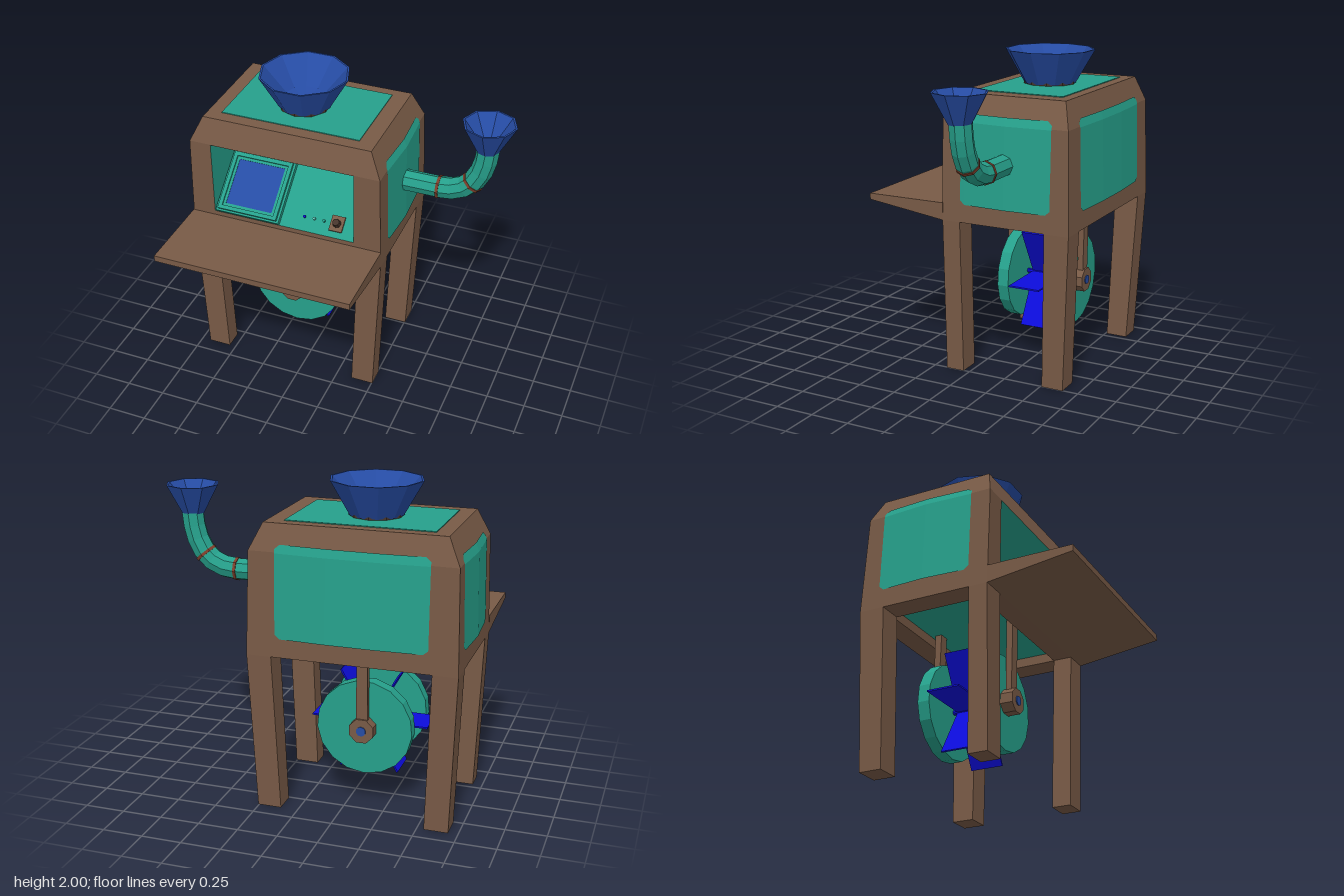
import * as THREE from 'three';

const mat = (name, color, side = THREE.DoubleSide) => {
  const m = new THREE.MeshStandardMaterial({ color, side });
  m.name = name;
  return m;
};
const wood = mat('brown wood', 0x785a46);
const teal = mat('teal metal', 0x26a08b);
const navy = mat('navy blue', 0x264ca4);
const blue = mat('bright blue', 0x0c0cdc);
const rust = mat('rust red', 0x7c3f2b);
const mint = mat('light mint', 0x5fc8b8);
const dark = mat('dark brown', 0x45342b);

const CX = -0.3425, CZ = -0.265; // cabinet centre
const WX = -0.365, WY = 0.52;    // wheel axis

function add(parent, name, geo, material, x = 0, y = 0, z = 0) {
  const m = new THREE.Mesh(geo, material);
  m.name = name;
  m.position.set(x, y, z);
  parent.add(m);
  return m;
}

function flat(geo) {
  const g = geo.index ? geo.toNonIndexed() : geo;
  g.computeVertexNormals();
  return g;
}

// Flat-shaded surface from four-cornered faces
function quads(list) {
  const pos = [];
  for (const [a, b, c, d] of list) pos.push(...a, ...b, ...c, ...a, ...c, ...d);
  const g = new THREE.BufferGeometry();
  g.setAttribute('position', new THREE.Float32BufferAttribute(pos, 3));
  g.computeVertexNormals();
  return g;
}

// Stack of rectangles [x0, x1, z0, z1, y] joined into a solid
function loft(rects, { bottom = true, top = true, skip = () => false } = {}) {
  const loops = rects.map(([x0, x1, z0, z1, y]) => [[x0, y, z1], [x1, y, z1], [x1, y, z0], [x0, y, z0]]);
  const faces = [];
  for (let i = 0; i + 1 < loops.length; i++)
    for (let k = 0; k < 4; k++) {
      const n = (k + 1) % 4;
      if (!skip(i, k)) faces.push([loops[i][k], loops[i][n], loops[i + 1][n], loops[i + 1][k]]);
    }
  if (bottom) faces.push([...loops[0]].reverse());
  if (top) faces.push(loops[loops.length - 1]);
  return quads(faces);
}

function rectPath(target, x0, x1, y0, y1) {
  target.moveTo(x0, y0);
  target.lineTo(x1, y0);
  target.lineTo(x1, y1);
  target.lineTo(x0, y1);
  target.closePath();
  return target;
}

// Bulging wall panel: columns are [u, bulge]; it bends in over the shoulder
function wallPanel(columns, extent) {
  const r = 0.025, last = columns.length - 1;
  const rows = columns.map(([u, bulge], i) => {
    const cut = i === 0 || i === last ? r : 0;
    return [1.105 + cut, 1.615, 1.665 - cut].map((y) => [u, y, extent(y) + bulge]);
  });
  const faces = [];
  for (let i = 0; i < last; i++)
    for (let k = 0; k < 2; k++)
      faces.push([rows[i][k], rows[i + 1][k], rows[i + 1][k + 1], rows[i][k + 1]]);
  return quads(faces);
}

function funnel(r0, r1, h, sides) {
  const pts = [[0, 0], [r0, 0], [r1, h], [r1 - 0.012, h], [r0 * 0.75, 0.05], [0, 0.02]];
  return flat(new THREE.LatheGeometry(pts.map((p) => new THREE.Vector2(...p)), sides, Math.PI / 2));
}

function buildCabinet(root) {
  const g = new THREE.Group();
  g.name = 'cabinet';
  root.add(g);
  const inner = [-0.83, 0.145, -0.55, 0.04];
  add(g, 'cabinetFrame', loft([
    [...inner, 1.05], [...inner, 0.99],
    [-0.98, 0.295, -0.69, 0.16, 0.99],
    [-0.965, 0.28, -0.672, 0.16, 1.62],
    [-0.89, 0.205, -0.62, 0.11, 1.78],
  ], { bottom: false, skip: (i, k) => i === 2 && k === 0 }), wood);
  add(g, 'floorPanel', loft([[...inner, 1.05], [...inner, 1.055]]), teal);

  // Front wall with its opening
  const front = new THREE.Shape();
  [[-0.98, 0.99], [0.295, 0.99], [0.28, 1.62], [-0.965, 1.62]].forEach(([x, y], i) =>
    i ? front.lineTo(x, y) : front.moveTo(x, y));
  front.holes.push(rectPath(new THREE.Path(), -0.825, 0.115, 1.13, 1.617));
  add(g, 'frontWall', new THREE.ShapeGeometry(front), wood, 0, 0, 0.16);

  // Wedge-shaped recess: sloping console, ceiling and two cheeks
  const [l, r] = [-0.825, 0.115];
  const A = (x) => [x, 1.13, 0.16], B = (x) => [x, 1.43, -0.2], C = (x) => [x, 1.617, 0.16];
  add(g, 'recess', quads([
    [A(l), A(r), B(r), B(l)], [B(l), B(r), C(r), C(l)],
    [A(l), B(l), C(l), C(l)], [A(r), C(r), B(r), B(r)],
  ]), teal);

  // Teal panels on the sides, back and top
  const lerp = THREE.MathUtils.mapLinear;
  const wall = (a, b, c) => (y) => (y < 1.62 ? lerp(y, 0.99, 1.62, a, b) : lerp(y, 1.62, 1.78, b, c));
  const sideCols = [[-0.3, 0.003], [-0.27, 0.005], [0, 0.02], [0.27, 0.005], [0.3, 0.003]];
  const backCols = [[-0.46, 0.003], [-0.43, 0.005], [-0.15, 0.018], [0.15, 0.018], [0.43, 0.005], [0.46, 0.003]];
  for (const [name, angle, cols, ext] of [
    ['leftPanel', Math.PI / 2, sideCols, wall(0.6375, 0.6225, 0.5475)],
    ['rightPanel', -Math.PI / 2, sideCols, wall(0.6375, 0.6225, 0.5475)],
    ['backPanel', Math.PI, backCols, wall(0.425, 0.407, 0.355)],
  ]) add(g, name, wallPanel(cols, ext), teal, CX, 0, CZ).rotation.y = angle;
  add(g, 'topPanel', new THREE.BoxGeometry(0.9, 0.008, 0.58), teal, -0.35, 1.781, -0.262);

  // Wedge-shaped table
  add(g, 'table', loft([
    [-0.98, 0.295, 0.159, 0.16, 0.99], [-0.98, 0.295, 0.159, 0.69, 1.06], [-0.98, 0.295, 0.159, 0.69, 1.1],
  ]), wood);

  // Tapered legs
  for (const s of [-1, 1]) {
    const span = (a, b) => [CX + s * a, CX + s * b].sort((p, q) => p - q);
    add(g, 'frontLeg', loft([[...span(0.45, 0.598), 0.04, 0.16, 0], [...span(0.485, 0.6375), 0.04, 0.16, 0.99]]), wood);
    add(g, 'backLeg', loft([[...span(0.45, 0.598), -0.65, -0.51, 0], [...span(0.485, 0.6375), -0.69, -0.53, 0.99]]), wood);
  }
}

// Monitor and controls lying on the sloping console
function buildConsole(root) {
  const g = new THREE.Group();
  g.name = 'console';
  g.position.set(0, 1.13, 0.16);
  g.rotation.x = -Math.atan2(0.36, 0.3);
  root.add(g);
  const ring = (w, h, t, depth) => {
    const s = rectPath(new THREE.Shape(), -w / 2, w / 2, -h / 2, h / 2);
    s.holes.push(rectPath(new THREE.Path(), -w / 2 + t, w / 2 - t, -h / 2 + t, h / 2 - t));
    return new THREE.ExtrudeGeometry(s, { depth, bevelEnabled: false });
  };
  const mx = -0.597, my = 0.205;
  add(g, 'monitorBase', new THREE.BoxGeometry(0.43, 0.41, 0.03), teal, mx, my, 0.015);
  add(g, 'monitorBezel', ring(0.4, 0.385, 0.025, 0.018), teal, mx, my, 0.03);
  add(g, 'monitorInnerBezel', ring(0.35, 0.335, 0.018, 0.008), teal, mx, my, 0.03);
  add(g, 'screen', new THREE.BoxGeometry(0.314, 0.299, 0.006), navy, mx, my, 0.032);

  add(g, 'switchPlate', new THREE.BoxGeometry(0.085, 0.1, 0.012), wood, -0.017, 0.09, 0.006);
  const knob = add(g, 'switchKnob', flat(new THREE.CylinderGeometry(0.022, 0.027, 0.035, 8)), dark, -0.017, 0.09, 0.028);
  knob.rotation.x = Math.PI / 2;
  [[-0.235, blue], [-0.17, mint], [-0.105, teal]].forEach(([x, m]) => {
    add(g, 'button', flat(new THREE.CylinderGeometry(0.009, 0.009, 0.014, 8)), m, x, 0.09, 0.007).rotation.x = Math.PI / 2;
  });
}

function buildFunnels(root) {
  add(root, 'topCollar', flat(new THREE.CylinderGeometry(0.165, 0.165, 0.025, 10)), dark, WX, 1.79, -0.25);
  add(root, 'topFunnel', funnel(0.165, 0.285, 0.21, 10), navy, WX, 1.79, -0.25);

  // Side pipe: a straight run, an elbow and two rings
  const V = (x, y) => new THREE.Vector3(x, y, -0.26);
  const run = new THREE.LineCurve3(V(0.26, 1.38), V(0.52, 1.38));
  const elbow = new THREE.QuadraticBezierCurve3(V(0.52, 1.38), V(0.79, 1.38), V(0.81, 1.72));
  add(root, 'pipeRun', flat(new THREE.TubeGeometry(run, 1, 0.068, 8)), teal);
  add(root, 'pipeElbow', flat(new THREE.TubeGeometry(elbow, 6, 0.07, 8)), teal);
  for (const t of [0, 0.5]) {
    const ring = add(root, 'pipeRing', flat(new THREE.CylinderGeometry(0.074, 0.074, 0.018, 8)), rust);
    ring.position.copy(elbow.getPoint(t));
    ring.quaternion.setFromUnitVectors(new THREE.Vector3(0, 1, 0), elbow.getTangent(t));
  }
  add(root, 'sideFunnel', funnel(0.068, 0.167, 0.185, 8), navy, 0.808, 1.71, -0.255);
}

// Paddle wheel hung between two struts
function buildWheel(root) {
  const g = new THREE.Group();
  g.name = 'paddleWheel';
  g.position.set(WX, WY, 0);
  root.add(g);
  const drum = (name, r, z0, z1, sides, m, turn = 0) => {
    const geo = new THREE.CylinderGeometry(r, r, z1 - z0, sides);
    geo.rotateY(turn);
    geo.rotateX(Math.PI / 2);
    add(g, name, flat(geo), m, 0, 0, (z0 + z1) / 2);
  };
  drum('frontDisc', 0.298, -0.11, -0.035, 17, teal);
  drum('backDisc', 0.298, -0.465, -0.388, 17, teal);
  drum('frontHub', 0.08, -0.04, 0.045, 8, wood, Math.PI / 8);
  drum('backHub', 0.08, -0.53, -0.46, 8, wood, Math.PI / 8);
  drum('axle', 0.03, -0.536, -0.528, 10, navy);
  drum('axleEnd', 0.03, 0.04, 0.051, 10, navy);
  drum('axleRod', 0.016, -0.39, -0.1, 8, blue);
  for (let i = 0; i < 6; i++) {
    const geo = new THREE.BoxGeometry(0.365, 0.01, 0.21);
    geo.translate(0.1825, 0, 0);
    add(g, 'paddle', geo, blue, 0, 0, -0.255).rotation.z = (i * Math.PI) / 3;
  }
  for (const [name, z] of [['frontStrut', 0], ['backStrut', -0.5]])
    add(g, name, loft([[-0.036, 0.036, z - 0.018, z + 0.018, 0.06], [-0.032, 0.032, z - 0.022, z + 0.022, 0.535]]), wood);
}

export function createModel() {
  const root = new THREE.Group();
  root.name = 'machine';
  buildCabinet(root);
  buildConsole(root);
  buildFunnels(root);
  buildWheel(root);
  return root;
}
